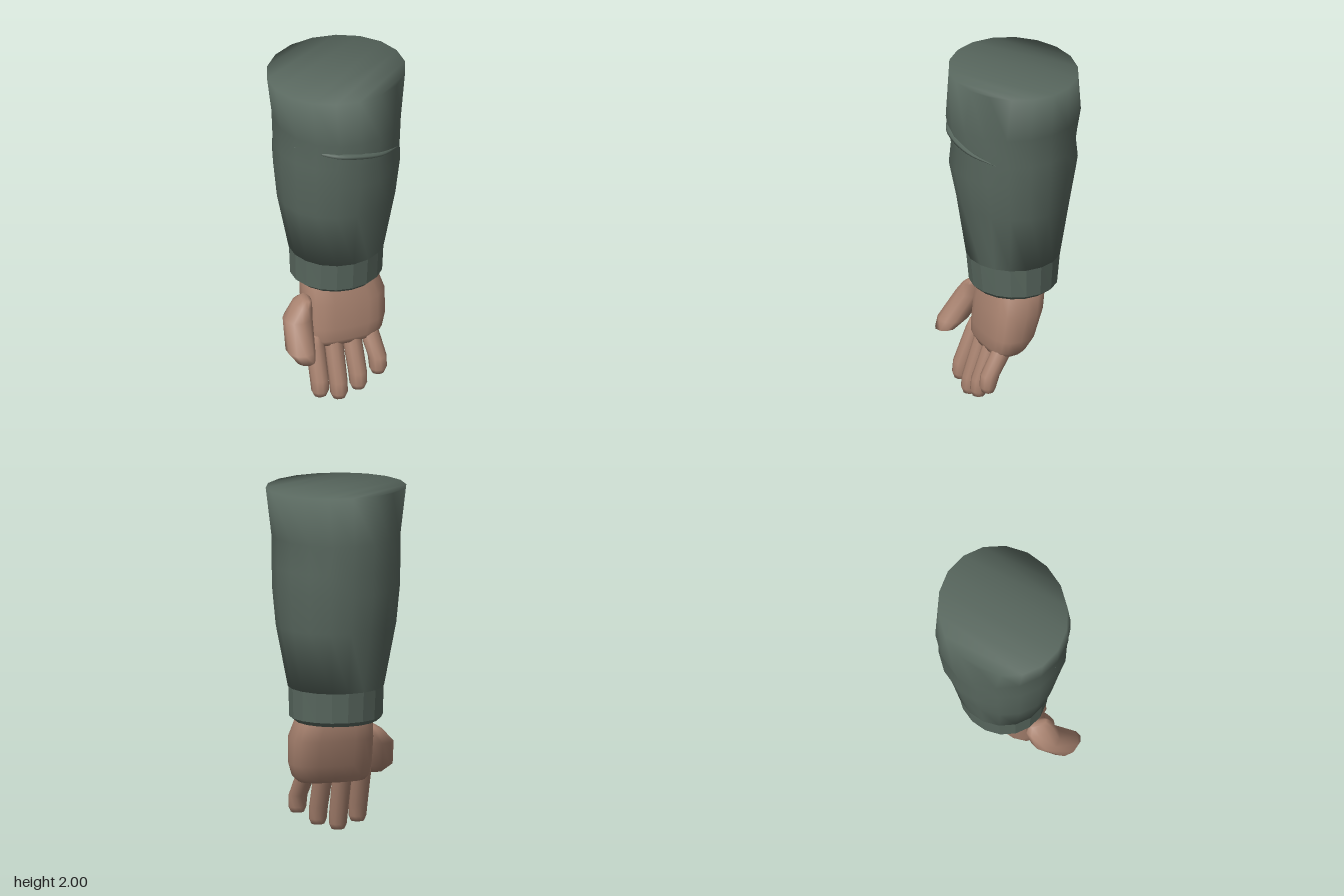
import * as THREE from 'three';

const fabric = new THREE.MeshStandardMaterial({ color: 0x59685f });
fabric.name = 'greenFabric';
const skin = new THREE.MeshStandardMaterial({ color: 0xa98370 });
skin.name = 'skin';

// Closed loft through horizontal rings, listed top to bottom as
// [y, centreX, centreZ, halfX, halfZ]. power < 1 squares the section.
function loft(name, material, rings, sides, power = 1, faceted = false) {
  const pos = [], idx = [];
  const bend = (v) => Math.sign(v) * Math.pow(Math.abs(v), power);
  for (const [y, cx, cz, hx, hz] of rings) {
    for (let i = 0; i < sides; i++) {
      const a = (i / sides) * Math.PI * 2;
      pos.push(cx + hx * bend(Math.sin(a)), y, cz + hz * bend(Math.cos(a)));
    }
  }
  for (let r = 0; r < rings.length - 1; r++) {
    for (let i = 0; i < sides; i++) {
      const j = (i + 1) % sides;
      const a = r * sides + i, b = r * sides + j;
      idx.push(a, a + sides, b + sides, a, b + sides, b);
    }
  }
  // end caps in parallel strips, sharing the rim vertices
  const last = (rings.length - 1) * sides;
  const at = (k) => (k + 2 + sides) % sides;
  for (let k = 0; k < sides / 2; k++) {
    const quad = [at(k), at(k + 1), at(-k - 1), at(-k)];
    for (const [p, q, s] of [[0, 1, 2], [0, 2, 3]]) {
      const [a, b, c] = [quad[p], quad[q], quad[s]];
      if (a === b || b === c || a === c) continue;
      idx.push(a, b, c, last + a, last + c, last + b);
    }
  }
  let geo = new THREE.BufferGeometry();
  geo.setAttribute('position', new THREE.Float32BufferAttribute(pos, 3));
  geo.setIndex(idx);
  if (faceted) geo = geo.toNonIndexed();
  geo.computeVertexNormals();
  const mesh = new THREE.Mesh(geo, material);
  mesh.name = name;
  return mesh;
}

// Tapered crease lying across the front of the sleeve
function sleeveFold() {
  const path = [[-0.32, 1.668], [-0.13, 1.66], [0, 1.643], [0.14, 1.61], [0.27, 1.57]];
  const curve = new THREE.CatmullRomCurve3(path.map(([x, y]) =>
    new THREE.Vector3(x, y, 0.362 * Math.sqrt(1 - (x / 0.362) ** 2))));
  const steps = 20, radial = 6;
  const geo = new THREE.TubeGeometry(curve, steps, 0.018, radial);
  const p = geo.attributes.position, v = new THREE.Vector3();
  for (let i = 0; i < p.count; i++) {
    const t = Math.floor(i / (radial + 1)) / steps;
    const c = curve.getPointAt(t);
    v.fromBufferAttribute(p, i).sub(c).multiplyScalar(0.06 + 0.94 * Math.sin(Math.PI * t)).add(c);
    p.setXYZ(i, v.x, v.y, v.z);
  }
  const mesh = new THREE.Mesh(geo, fabric);
  mesh.name = 'sleeveFold';
  return mesh;
}

export function createModel() {
  const arm = new THREE.Group();
  arm.name = 'sleevedArm';

  // Sleeve and ribbed cuff
  arm.add(loft('sleeve', fabric, [
    [2.0, 0, 0, 0.395, 0.355],
    [1.73, 0, 0, 0.36, 0.381],
    [1.56, 0, 0, 0.36, 0.347],
    [1.44, 0, 0, 0.358, 0.361],
    [1.22, 0, 0, 0.338, 0.315],
    [0.87, 0, 0, 0.27, 0.264],
  ], 18));
  arm.add(sleeveFold());
  arm.add(loft('cuff', fabric, [
    [0.895, 0, 0, 0.268, 0.266],
    [0.70, 0, 0, 0.262, 0.246],
    [0.675, 0, 0, 0.232, 0.222],
    [0.68, 0, 0, 0.215, 0.205],
    [0.73, 0, 0, 0.21, 0.2],
  ], 18, 1, true));

  // Hand
  const hand = new THREE.Group();
  hand.name = 'hand';
  arm.add(hand);
  hand.add(loft('palm', skin, [
    [0.76, 0.01, 0.01, 0.17, 0.14],
    [0.67, 0.01, 0.015, 0.215, 0.155],
    [0.57, 0.02, 0.04, 0.236, 0.158],
    [0.42, 0.015, 0.072, 0.234, 0.138],
    [0.345, 0.005, 0.095, 0.22, 0.112],
    [0.312, 0, 0.1, 0.19, 0.095],
  ], 20, 0.72));

  hand.add(loft('thumb', skin, [
    [0.612, -0.225, 0.11, 0.025, 0.05],
    [0.585, -0.245, 0.11, 0.05, 0.08],
    [0.51, -0.282, 0.125, 0.083, 0.085],
    [0.36, -0.305, 0.225, 0.082, 0.088],
    [0.312, -0.293, 0.275, 0.055, 0.062],
  ], 10));

  // Fingers: [name, base x, tip x, tip y]
  for (const [name, x0, x1, tip] of [
    ['indexFinger', -0.185, -0.19, 0.04],
    ['middleFinger', -0.075, -0.077, 0],
    ['ringFinger', 0.035, 0.039, 0.035],
    ['littleFinger', 0.14, 0.157, 0.11],
  ]) {
    hand.add(loft(name, skin, [
      [0.38, x0, 0.12, 0.05, 0.055],
      [0.33, x0, 0.14, 0.054, 0.06],
      [tip + 0.1, x1, 0.22, 0.052, 0.055],
      [tip + 0.03, x1, 0.235, 0.05, 0.046],
      [tip, x1, 0.235, 0.037, 0.035],
    ], 10));
  }
  return arm;
}
